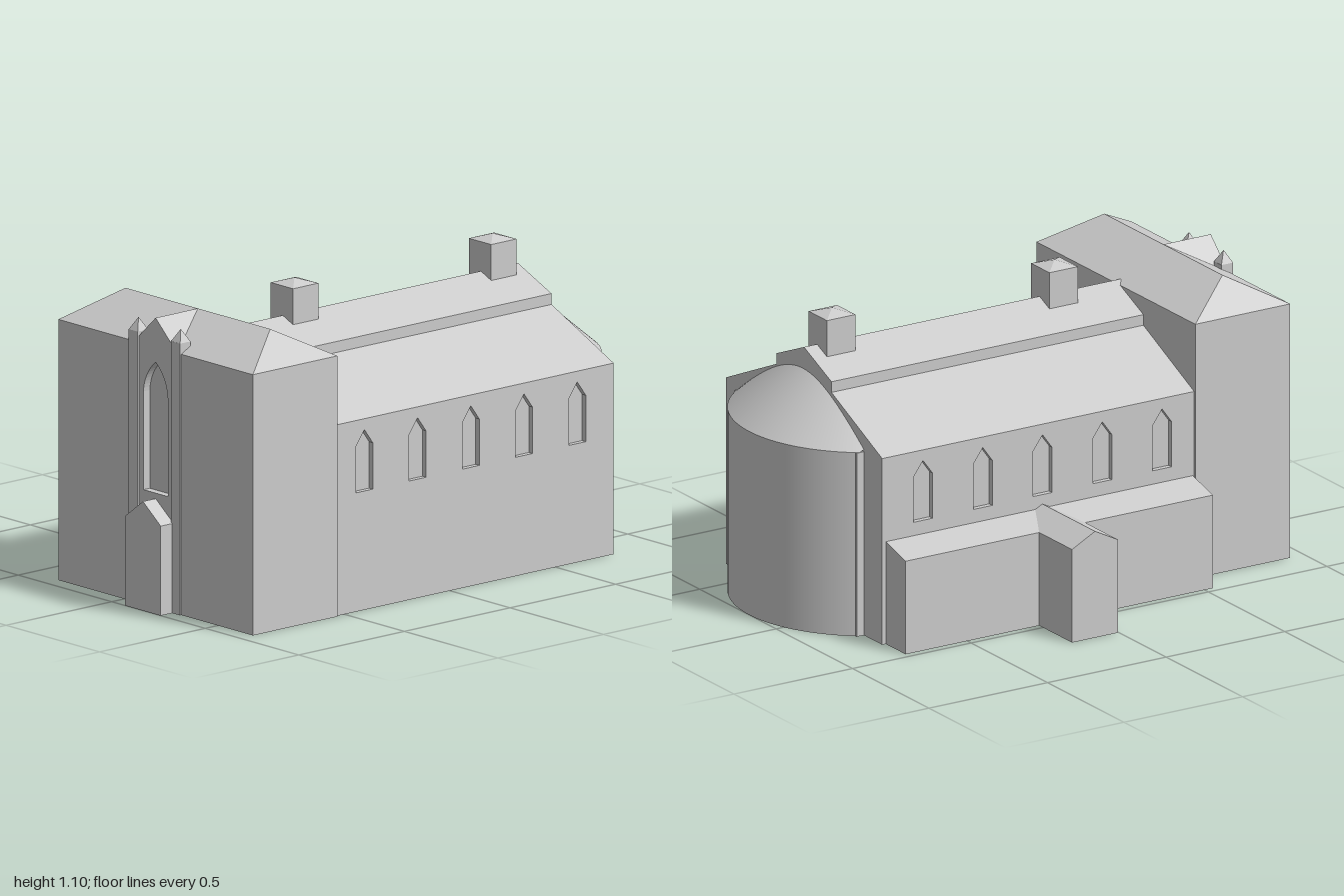
import * as THREE from 'three';
import { ParametricGeometry } from 'three/addons/geometries/ParametricGeometry.js';

const MID = 0.167; // z of the church's long axis

export function createModel() {
  const church = new THREE.Group();
  church.name = 'church';
  const material = new THREE.MeshStandardMaterial({ color: 0xcccccc });

  const add = (name, geometry, x = 0, y = 0, z = 0) => {
    const mesh = new THREE.Mesh(geometry, material);
    mesh.name = name;
    mesh.position.set(x, y, z);
    church.add(mesh);
    return mesh;
  };
  const box = (name, x0, x1, y0, y1, z0, z1) =>
    add(name, new THREE.BoxGeometry(x1 - x0, y1 - y0, z1 - z0), (x0 + x1) / 2, (y0 + y1) / 2, (z0 + z1) / 2);
  const outline = (points) => new THREE.Shape(points.map(([a, b]) => new THREE.Vector2(a, b)));
  const extrude = (shape, depth) => new THREE.ExtrudeGeometry(shape, { depth, bevelEnabled: false, curveSegments: 10 });
  // Extrude a [z, y] section along x from x0 to x1
  const alongX = (name, points, x0, x1) =>
    add(name, extrude(outline(points.map(([z, y]) => [-z, y])), x1 - x0).rotateY(Math.PI / 2), x0);
  // House-shaped section
  const gable = (centre, half, base, eaves, ridge) => [
    [centre - half, base], [centre + half, base], [centre + half, eaves], [centre, ridge], [centre - half, eaves],
  ];
  // Four-sided pyramid
  const pyramid = (name, width, height, x, y, z) =>
    add(name, new THREE.ConeGeometry(width / Math.SQRT2, height, 4, 1).rotateY(Math.PI / 4).toNonIndexed(), x, y + height / 2, z)
      .geometry.computeVertexNormals();

  // Nave core with stepped roof, eaves reaching over the side walls
  const half = 0.512, wall = 0.02;
  const side = [[half - wall, 0], [half - wall, 0.7], [half, 0.7], [0.18, 0.85], [0.18, 0.89]];
  const section = [
    ...side.map(([d, y]) => [MID + d, y]),
    [MID, 0.967],
    ...side.slice().reverse().map(([d, y]) => [MID - d, y]),
  ];
  alongX('nave', section, -0.56, 0.775);

  // Side walls pierced by five pointed windows
  const naveWall = outline([[-0.56, 0], [0.775, 0], [0.775, 0.7], [-0.56, 0.7]]);
  for (let i = 0; i < 5; i++) {
    const x = -0.405 + i * 0.252;
    naveWall.holes.push(outline(gable(x, 0.04, 0.435, 0.605, 0.66)));
  }
  add('frontNaveWall', extrude(naveWall, wall), 0, 0, MID + half - wall);
  add('backNaveWall', extrude(naveWall, wall), 0, 0, MID - half);

  // West block: core plus facade with a tall pointed window recess
  box('westBlock', -0.91, -0.54, 0, 0.955, MID - 0.52, MID + 0.52);
  const facade = outline([[-0.52, 0], [0.52, 0], [0.52, 0.955], [-0.52, 0.955]]);
  const arch = new THREE.Path();
  arch.moveTo(-0.065, 0.42);
  arch.lineTo(0.065, 0.42);
  arch.lineTo(0.065, 0.78);
  arch.quadraticCurveTo(0.06, 0.85, 0, 0.9);
  arch.quadraticCurveTo(-0.06, 0.85, -0.065, 0.78);
  arch.closePath();
  facade.holes.push(arch);
  add('westFacade', extrude(facade, 0.03).rotateY(Math.PI / 2), -0.94, 0, MID);

  // Hipped roof: a box with its top drawn in to a ridge
  const hip = new THREE.BoxGeometry(0.4, 0.107, 1.04);
  const p = hip.attributes.position;
  for (let i = 0; i < p.count; i++) {
    if (p.getY(i) > 0) p.setXYZ(i, 0, p.getY(i), Math.sign(p.getZ(i)) * 0.387);
  }
  hip.computeVertexNormals();
  add('westRoof', hip, -0.74, 0.955 + 0.0535, MID);

  // Facade gable flanked by buttresses with pinnacles
  alongX('westGable', [[MID - 0.115, 0.955], [MID + 0.115, 0.955], [MID, 1.062]], -0.94, -0.74);
  for (const s of [-1, 1]) {
    const z = MID + s * 0.113;
    box('buttress', -0.946, -0.896, 0, 0.995, z - 0.024, z + 0.024);
    pyramid('pinnacle', 0.049, 0.045, -0.921, 0.995, z);
  }

  // West porch
  alongX('westPorch', gable(MID, 0.095, 0, 0.328, 0.4), -1, -0.92);

  // Lean-to aisle and gabled porch at the back
  alongX('backAisle', [[-0.475, 0], [-0.34, 0], [-0.34, 0.386], [-0.475, 0.35]], -0.535, 0.76);
  add('backPorch', extrude(outline(gable(0.1, 0.097, 0, 0.35, 0.4)), 0.35), 0, 0, -0.69);

  // Rounded apse: shallow arc wall
  const R = 0.49, cx = 0.51, cz = 0.175, eaves = 0.69, spread = Math.asin(0.392 / R);
  box('apseShoulder', 0.76, 0.805, 0, eaves, cz - 0.4, cz + 0.4);
  add('apseWall', new THREE.CylinderGeometry(R, R, eaves, 40, 1, false, Math.PI / 2 - spread, spread * 2), cx, eaves / 2, cz);

  // Apse roof: part of a cone cut off by the nave's end wall
  const roof = new ParametricGeometry((u, v, target) => {
    const z = 0.4 * (2 * u - 1);
    const edge = Math.sqrt(R * R - z * z);
    const x = THREE.MathUtils.lerp(0.774 - cx, edge, v);
    target.set(x, eaves + 0.867 * (R - Math.hypot(x, z)), z);
  }, 40, 8);
  add('apseRoof', roof, cx, 0, cz).material = new THREE.MeshStandardMaterial({ color: 0xcccccc, side: THREE.DoubleSide });

  // Ridge turrets
  for (const x of [-0.278, 0.66]) {
    box('ridgeTurret', x - 0.06, x + 0.06, 0.9, 1.075, 0.102, 0.222);
    pyramid('turretCap', 0.12, 0.02, x, 1.075, 0.162);
  }

  return church;
}
